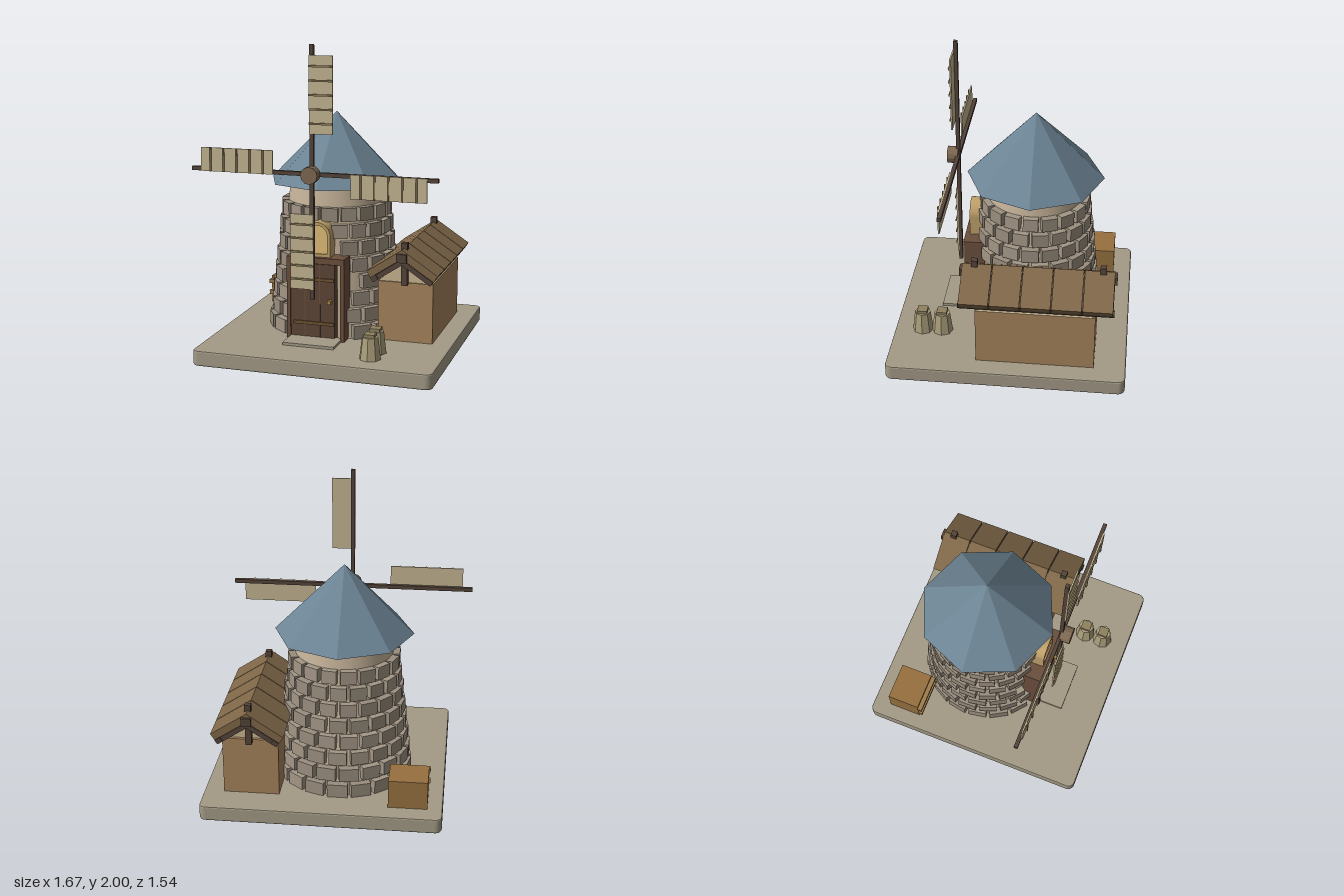
import * as THREE from 'three';

const mat = (color, flatShading = true) => new THREE.MeshStandardMaterial({ color, flatShading });
const M = {
  base: mat(0xa39a86), wall: mat(0xc8b59b, false), stoneA: mat(0x9a8e7e), stoneB: mat(0xa39686),
  roof: mat(0x6c8494), dark: mat(0x54443a), door: mat(0x5e4636), frame: mat(0x6b4f3d),
  brass: mat(0xb08a48), band: mat(0x6e5434), glass: mat(0xe0be78), trim: mat(0xbfa06a),
  sail: mat(0xc4b692), slat: mat(0x8a7a58), hub: mat(0x7d6850), shed: mat(0xa5835c),
  gable: mat(0xc9b590), plank: mat(0x7f6748), crate: mat(0x96703f), crateSlat: mat(0xa07c4c),
  sack: mat(0xaca07c), knot: mat(0x8f8260),
};

function add(parent, name, geometry, material, x = 0, y = 0, z = 0) {
  const m = new THREE.Mesh(geometry, material);
  m.name = name;
  m.position.set(x, y, z);
  parent.add(m);
  return m;
}

// Box given by its lower and upper bounds
function span(parent, name, material, x0, x1, y0, y1, z0, z1) {
  return add(parent, name, new THREE.BoxGeometry(x1 - x0, y1 - y0, z1 - z0), material,
    (x0 + x1) / 2, (y0 + y1) / 2, (z0 + z1) / 2);
}

function group(parent, name, x = 0, y = 0, z = 0) {
  const g = new THREE.Group();
  g.name = name;
  g.position.set(x, y, z);
  parent.add(g);
  return g;
}

const hash = (n) => { const s = Math.sin(n * 12.9898) * 43758.5453; return s - Math.floor(s); };

// Rounded ground slab
function buildBase(root) {
  const w = 0.762, d = 0.76, r = 0.035, s = new THREE.Shape();
  s.absarc(w - r, d - r, r, 0, Math.PI / 2);
  s.absarc(-w + r, d - r, r, Math.PI / 2, Math.PI);
  s.absarc(-w + r, -d + r, r, Math.PI, Math.PI * 1.5);
  s.absarc(w - r, -d + r, r, Math.PI * 1.5, Math.PI * 2);
  const g = new THREE.ExtrudeGeometry(s, {
    depth: 0.08, bevelSize: 0.01, bevelThickness: 0.01, bevelSegments: 2, curveSegments: 5,
  });
  g.rotateX(-Math.PI / 2);
  add(root, 'groundSlab', g, M.base, 0.063, 0.01, 0);
}

// Tapered round wall, stone courses and cone roof
function buildTower(root) {
  const tower = group(root, 'tower', -0.03, 0, -0.12);
  const radius = (y) => 0.41 - 0.107 * (y - 0.1);
  add(tower, 'towerWall', new THREE.CylinderGeometry(radius(1.09), radius(0.1), 0.99, 32), M.wall, 0, 0.595, 0);

  const stones = group(tower, 'stones'), count = 18;
  for (let row = 0; row < 8; row++) {
    const y = 0.145 + row * 0.1085, r = radius(y);
    for (let i = 0; i < count; i++) {
      const a = ((i + (row % 2) * 0.5) / count) * Math.PI * 2;
      const front = Math.cos(a) > 0 ? Math.abs(Math.sin(a)) * r : 1;
      if ((y < 0.64 && front < 0.19) || (y > 0.64 && y < 0.84 && front < 0.1)) continue;
      const k = hash(row * 31 + i + 1);
      const w = (2 * Math.PI * r / count) * (0.84 + 0.1 * k);
      const stone = add(stones, 'stone', new THREE.BoxGeometry(w, 0.088, 0.055), k > 0.5 ? M.stoneA : M.stoneB,
        Math.sin(a) * (r + 0.006 + 0.008 * k), y, Math.cos(a) * (r + 0.006 + 0.008 * k));
      stone.rotation.y = a;
    }
  }
  add(tower, 'towerRoof', new THREE.ConeGeometry(0.45, 0.455, 8), M.roof, 0, 1.3025, 0);
}

// Door with frame, step and arched window above
function buildEntrance(root) {
  const door = group(root, 'entrance');
  span(door, 'doorPanel', M.door, -0.2, 0.095, 0.11, 0.6, 0.27, 0.325);
  for (const x of [-0.105, -0.005]) span(door, 'doorGroove', M.frame, x - 0.003, x + 0.003, 0.11, 0.6, 0.3, 0.328);
  for (const x of [-0.225, 0.135]) span(door, 'doorPost', M.frame, x, x + 0.025, 0.1, 0.62, 0.2, 0.335);
  span(door, 'doorLintel', M.frame, -0.225, 0.16, 0.605, 0.645, 0.2, 0.34);
  for (const y of [0.21, 0.5]) span(door, 'doorBand', M.band, -0.18, 0.09, y - 0.01, y + 0.01, 0.31, 0.335);
  span(door, 'doorHandle', M.brass, 0.053, 0.077, 0.348, 0.372, 0.32, 0.352);
  span(door, 'doorStep', M.base, -0.2, 0.14, 0.1, 0.118, 0.3, 0.495);

  const arch = (r, h) => {
    const s = new THREE.Shape();
    s.moveTo(-r, -h);
    s.lineTo(r, -h);
    s.absarc(0, 0, r, 0, Math.PI);
    s.closePath();
    return s;
  };
  const rim = arch(0.09, 0.135);
  rim.holes.push(arch(0.07, 0.115));
  const opts = (depth) => ({ depth, bevelEnabled: false, curveSegments: 8 });
  add(door, 'windowFrame', new THREE.ExtrudeGeometry(rim, opts(0.12)), M.trim, -0.03, 0.78, 0.19);
  add(door, 'windowPane', new THREE.ExtrudeGeometry(arch(0.075, 0.12), opts(0.11)), M.glass, -0.03, 0.78, 0.19);
}

// Four-armed sail wheel
function buildSails(root) {
  const wheel = group(root, 'sailWheel', -0.033, 1.193, 0.388);
  const hub = add(wheel, 'hub', new THREE.CylinderGeometry(0.055, 0.055, 0.07, 12), M.hub, 0, 0, 0.033);
  hub.rotation.x = Math.PI / 2;
  for (let i = 0; i < 4; i++) {
    const arm = group(wheel, 'sailArm');
    arm.rotation.z = -i * Math.PI / 2;
    span(arm, 'spar', M.dark, -0.013, 0.013, 0, 0.807, -0.013, 0.012);
    span(arm, 'sailPanel', M.sail, -0.013, 0.14, 0.255, 0.74, 0.01, 0.02);
    for (let k = 0; k < 5; k++) {
      const y = 0.32 + k * 0.0885;
      span(arm, 'sailSlat', M.slat, -0.013, 0.14, y - 0.006, y + 0.006, 0.014, 0.029);
    }
  }
}

// Side shed with plank roof
function buildShed(root) {
  const shed = group(root, 'shed', 0.525, 0, 0);
  span(shed, 'shedWalls', M.shed, -0.18, 0.18, 0.1, 0.49, -0.565, 0.195);
  const tri = new THREE.Shape([[-0.18, 0], [0.18, 0], [0, 0.155]].map((p) => new THREE.Vector2(...p)));
  add(shed, 'shedGable', new THREE.ExtrudeGeometry(tri, { depth: 0.73, bevelEnabled: false }), M.gable, 0, 0.49, -0.545);
  span(shed, 'ridgeBeam', M.dark, -0.032, 0.032, 0.645, 0.7, -0.69, 0.31);
  for (const z of [-0.6, 0.215]) span(shed, 'ridgePost', M.dark, -0.02, 0.02, 0.48, 0.757, z - 0.02, z + 0.02);

  for (const side of [0, Math.PI]) {
    const turn = group(shed, 'roofSide', 0, 0.725, -0.19);
    turn.rotation.y = side;
    const slope = group(turn, 'roofSlope');
    slope.rotation.z = -0.585;
    for (let i = 0; i < 5; i++) {
      const z = (i - 2) * 0.1945;
      span(slope, 'roofPlank', M.plank, 0, 0.277, -0.048, 0, z - 0.094, z + 0.094);
    }
    span(slope, 'roofUnderlay', M.dark, 0.03, 0.27, -0.052, -0.01, -0.47, 0.47);
    for (const z of [-0.46, 0.46]) span(slope, 'rafter', M.dark, 0.02, 0.272, -0.082, -0.05, z - 0.025, z + 0.025);
    span(slope, 'eaveBeam', M.dark, 0.235, 0.275, -0.078, -0.047, -0.492, 0.492);
  }
}

// Crate behind the tower and two tied sacks
function buildProps(root) {
  const crate = group(root, 'crate');
  span(crate, 'crateBox', M.crate, -0.612, -0.362, 0.1, 0.29, -0.65, -0.43);
  for (const y of [0.175, 0.255]) span(crate, 'crateSlat', M.crateSlat, -0.62, -0.36, y - 0.014, y + 0.014, -0.43, -0.4);
  for (const z of [0.455, 0.585]) {
    const sack = group(root, 'sack', 0.405, 0.1, z);
    add(sack, 'sackBody', new THREE.CylinderGeometry(0.052, 0.069, 0.14, 8), M.sack, 0, 0.07, 0);
    span(sack, 'sackKnot', M.knot, -0.033, 0.033, 0.13, 0.16, -0.033, 0.033);
  }
}

export function createModel() {
  const root = new THREE.Group();
  root.name = 'windmill';
  [buildBase, buildTower, buildEntrance, buildSails, buildShed, buildProps].forEach((build) => build(root));
  return root;
}
